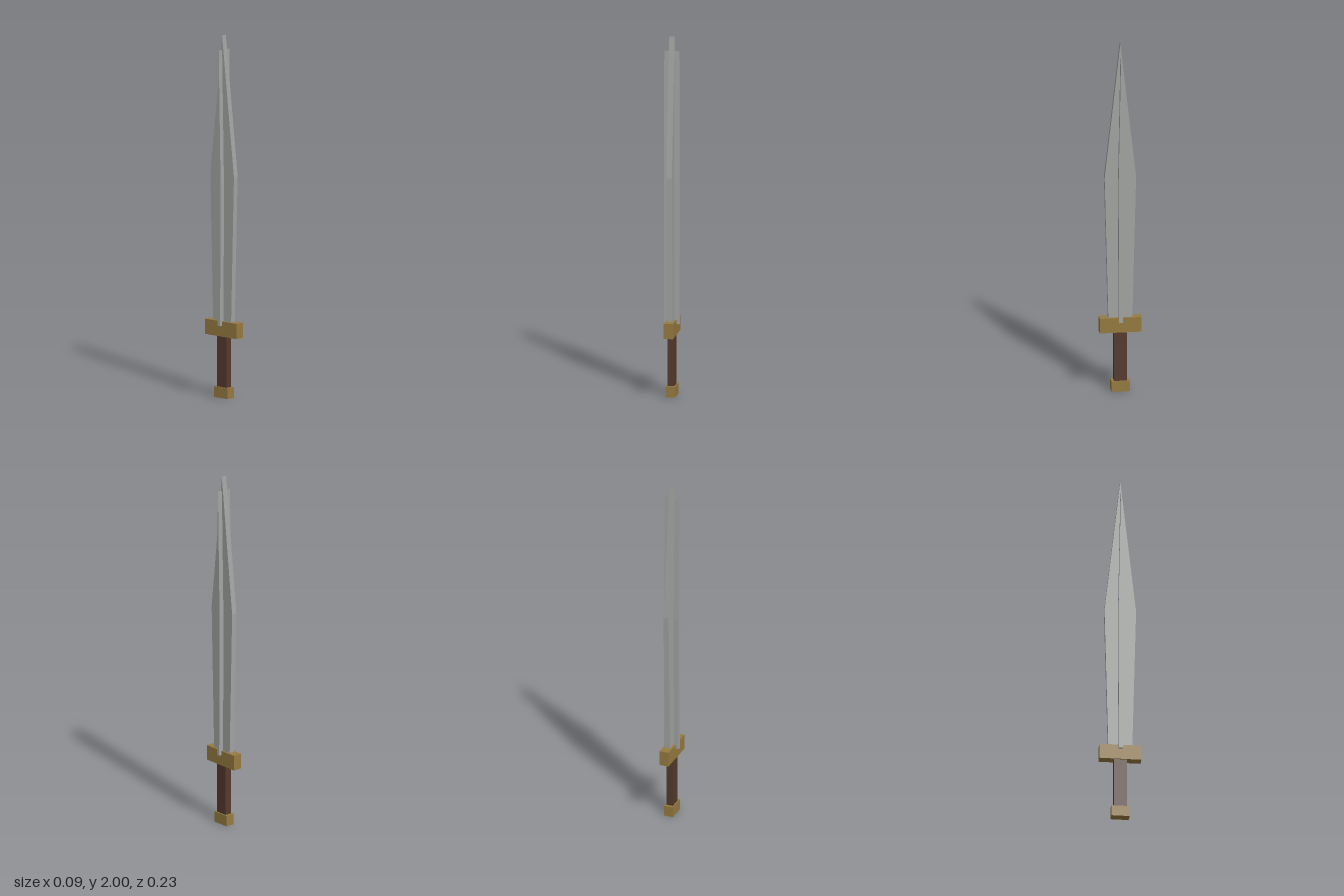
import * as THREE from 'three';

export function createModel() {
  const sword = new THREE.Group();
  sword.name = 'sword';

  const material = (name, color) => {
    const m = new THREE.MeshStandardMaterial({ color });
    m.name = name;
    return m;
  };
  const steel = material('steel', 0xa2a4a2);
  const brass = material('brass', 0x967a40);
  const wood = material('brown grip', 0x553a2d);

  const add = (name, geometry, mat) => {
    const mesh = new THREE.Mesh(geometry, mat);
    mesh.name = name;
    sword.add(mesh);
  };

  // Upright block between two heights
  const block = (name, width, depth, y0, y1, mat) => {
    const g = new THREE.BoxGeometry(width, y1 - y0, depth);
    g.translate(0, (y0 + y1) / 2, 0);
    add(name, g, mat);
  };

  // Leaf-shaped plate in the z-y plane, flat edges, given its thickness along x
  const leaf = (name, baseHalf, wideHalf, y0, yWide, yTip, thickness) => {
    const shape = new THREE.Shape([
      [-baseHalf, y0], [baseHalf, y0], [wideHalf, yWide], [0, yTip], [-wideHalf, yWide],
    ].map(([z, y]) => new THREE.Vector2(z, y)));
    const g = new THREE.ExtrudeGeometry(shape, { depth: thickness, bevelEnabled: false });
    g.translate(0, 0, -thickness / 2);
    g.rotateY(Math.PI / 2);
    add(name, g, steel);
  };

  // Hilt
  block('pommel', 0.052, 0.1, 0, 0.06, brass);
  block('grip', 0.038, 0.07, 0.06, 0.34, wood);
  block('guard', 0.052, 0.228, 0.34, 0.424, brass);

  // Blade with a thicker, narrow central rib
  leaf('blade', 0.065, 0.086, 0.4, 1.23, 2, 0.03);
  leaf('bladeRib', 0.0102, 0.0134, 0.4, 1.19, 1.92, 0.085);

  return sword;
}
